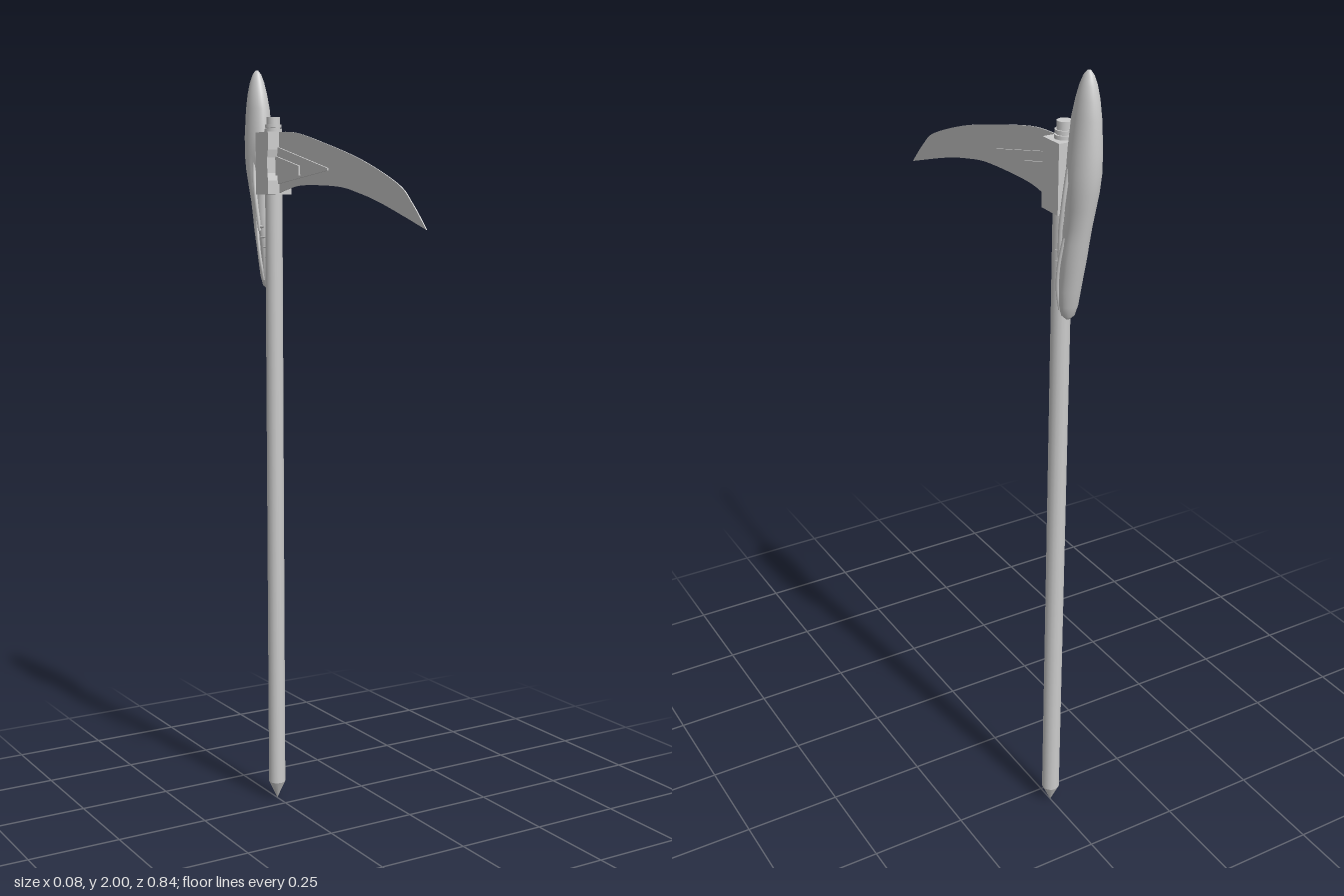
import * as THREE from 'three';

const POLE_Z = -0.297;
const mat = new THREE.MeshStandardMaterial({ color: 0xcccccc, side: THREE.DoubleSide });
const flatMat = new THREE.MeshStandardMaterial({ color: 0xcccccc, flatShading: true });

function part(name, geometry, material = mat) {
  const mesh = new THREE.Mesh(geometry, material);
  mesh.name = name;
  return mesh;
}

// Flat plate drawn in the side plane (z, y), centred on x = 0
function plate(shape, thickness) {
  return new THREE.ExtrudeGeometry(shape, { depth: thickness, bevelEnabled: false, curveSegments: 16 })
    .translate(0, 0, -thickness / 2)
    .rotateY(-Math.PI / 2);
}

const points = (list) => list.map(([a, b]) => new THREE.Vector2(a, b));

function cylinder(name, r, y0, y1, sides = 16) {
  const mesh = part(name, new THREE.CylinderGeometry(r, r, y1 - y0, sides));
  mesh.position.set(0, (y0 + y1) / 2, POLE_Z);
  return mesh;
}

// Curved blade sweeping forward to a point
function makeBlade() {
  const s = new THREE.Shape();
  s.moveTo(-0.28, 1.836);
  s.splineThru(points([[-0.18, 1.83], [-0.05, 1.802], [0.14, 1.752], [0.30, 1.692], [0.36, 1.648], [0.42, 1.587]]));
  s.splineThru(points([[0.24, 1.645], [0.13, 1.673], [0.03, 1.69], [-0.14, 1.696], [-0.22, 1.687], [-0.28, 1.674]]));
  return part('blade', plate(s, 0.003), flatMat);
}

// Tapering reinforcement on both faces of the blade
function wedge(name, zEnd, halfBase, halfEnd, thickness) {
  const y = 1.75, yEnd = 1.733;
  const s = new THREE.Shape(points([
    [-0.28, y - halfBase], [zEnd, yEnd - halfEnd], [zEnd, yEnd + halfEnd], [-0.28, y + halfBase],
  ]));
  return part(name, plate(s, thickness), flatMat);
}

// Long skull: elliptical sections [y, front z, back z, centre x, half width]
const SECTIONS = [
  [2.0, -0.375, -0.385, -0.004, 0.004], [1.99, -0.366, -0.393, -0.004, 0.011],
  [1.97, -0.357, -0.401, -0.004, 0.018], [1.94, -0.347, -0.409, -0.004, 0.024],
  [1.9, -0.336, -0.415, -0.004, 0.029], [1.83, -0.33, -0.42, -0.003, 0.034],
  [1.78, -0.328, -0.419, -0.002, 0.036], [1.74, -0.328, -0.414, -0.001, 0.035],
  [1.7, -0.327, -0.406, 0, 0.032], [1.66, -0.324, -0.398, 0.001, 0.029],
  [1.62, -0.319, -0.39, 0.003, 0.03], [1.58, -0.312, -0.382, 0.004, 0.031],
  [1.54, -0.307, -0.373, 0.004, 0.029], [1.5, -0.306, -0.364, 0.004, 0.027],
  [1.46, -0.311, -0.354, 0.003, 0.023], [1.435, -0.317, -0.345, 0.002, 0.016],
  [1.425, -0.325, -0.335, 0.002, 0.005],
];

function makeCranium() {
  const n = 32, pos = [], index = [];
  const bump = (v, c, w) => Math.exp(-(((v - c) / w) ** 2));
  for (const [y, zf, zb, cx, hw] of SECTIONS) {
    for (let j = 0; j < n; j++) {
      const a = (j / n) * Math.PI * 2;
      // Hollow eye sockets and long side grooves
      const side = Math.abs(Math.cos(a)), s = Math.sin(a);
      const dent = 1 - 0.35 * bump(y, 1.72, 0.04) * bump(s, 0.45, 0.3) * side
        - 0.25 * bump(y, 1.56, 0.07) * bump(s, 0.1, 0.25) * side;
      pos.push(cx + hw * Math.cos(a) * dent, y, (zf + zb) / 2 + ((zf - zb) / 2) * s);
    }
  }
  const last = SECTIONS.length - 1;
  for (let i = 0; i < last; i++) {
    for (let j = 0; j < n; j++) {
      const k = (j + 1) % n;
      const a = i * n + j, b = i * n + k, c = a + n, d = b + n;
      index.push(a, b, d, a, d, c);
    }
  }
  // End caps
  for (let j = 1; j < n - 1; j++) {
    index.push(0, j + 1, j, last * n, last * n + j, last * n + j + 1);
  }
  const g = new THREE.BufferGeometry();
  g.setAttribute('position', new THREE.Float32BufferAttribute(pos, 3));
  g.setIndex(index);
  g.computeVertexNormals();
  return part('cranium', g);
}

function makeSkull() {
  const skull = new THREE.Group();
  skull.name = 'skull';
  skull.add(makeCranium());
  for (const side of [-1, 1]) {
    const rod = (name, r, list) => {
      const curve = new THREE.CatmullRomCurve3(list.map(([x, y, z]) => new THREE.Vector3(0.003 + side * x, y, z)));
      skull.add(part(name, new THREE.TubeGeometry(curve, 14, r, 7)));
    };
    rod('cheekbone', 0.005, [[0.026, 1.79, -0.36], [0.031, 1.72, -0.353], [0.031, 1.65, -0.342], [0.026, 1.58, -0.333]]);
    rod('jawRidge', 0.004, [[0.026, 1.63, -0.35], [0.03, 1.56, -0.336], [0.027, 1.5, -0.328], [0.018, 1.45, -0.326]]);
    // Teeth along the muzzle
    for (let i = 0; i < 5; i++) {
      const tooth = part('tooth', new THREE.ConeGeometry(0.005, 0.022, 6));
      tooth.position.set(0.003 + side * (0.024 - 0.002 * i), 1.59 - i * 0.027, -0.32 + i * 0.001);
      tooth.rotation.x = Math.PI / 2;
      skull.add(tooth);
    }
  }
  return skull;
}

export function createModel() {
  const model = new THREE.Group();
  model.name = 'scythe';

  // Pole with pointed foot and stepped top peg
  model.add(cylinder('pole', 0.023, 0.05, 1.845));
  model.add(cylinder('topPeg', 0.018, 1.845, 1.875));
  model.add(cylinder('topRing', 0.022, 1.848, 1.856));
  const foot = part('footSpike', new THREE.ConeGeometry(0.023, 0.05, 16));
  foot.rotation.x = Math.PI;
  foot.position.set(0, 0.025, POLE_Z);
  model.add(foot);

  // Bracket with slightly waisted front and back faces
  const outline = new THREE.Shape(points([
    [-0.264, 1.675], [-0.264, 1.71], [-0.268, 1.73], [-0.268, 1.77], [-0.264, 1.79], [-0.264, 1.836],
    [-0.331, 1.836], [-0.331, 1.675],
  ]));
  model.add(part('bracket', plate(outline, 0.07), flatMat));

  model.add(makeBlade());
  model.add(wedge('longReinforcement', -0.012, 0.05, 0.003, 0.012));
  model.add(wedge('shortReinforcement', -0.145, 0.026, 0.012, 0.022));
  model.add(makeSkull());
  return model;
}
